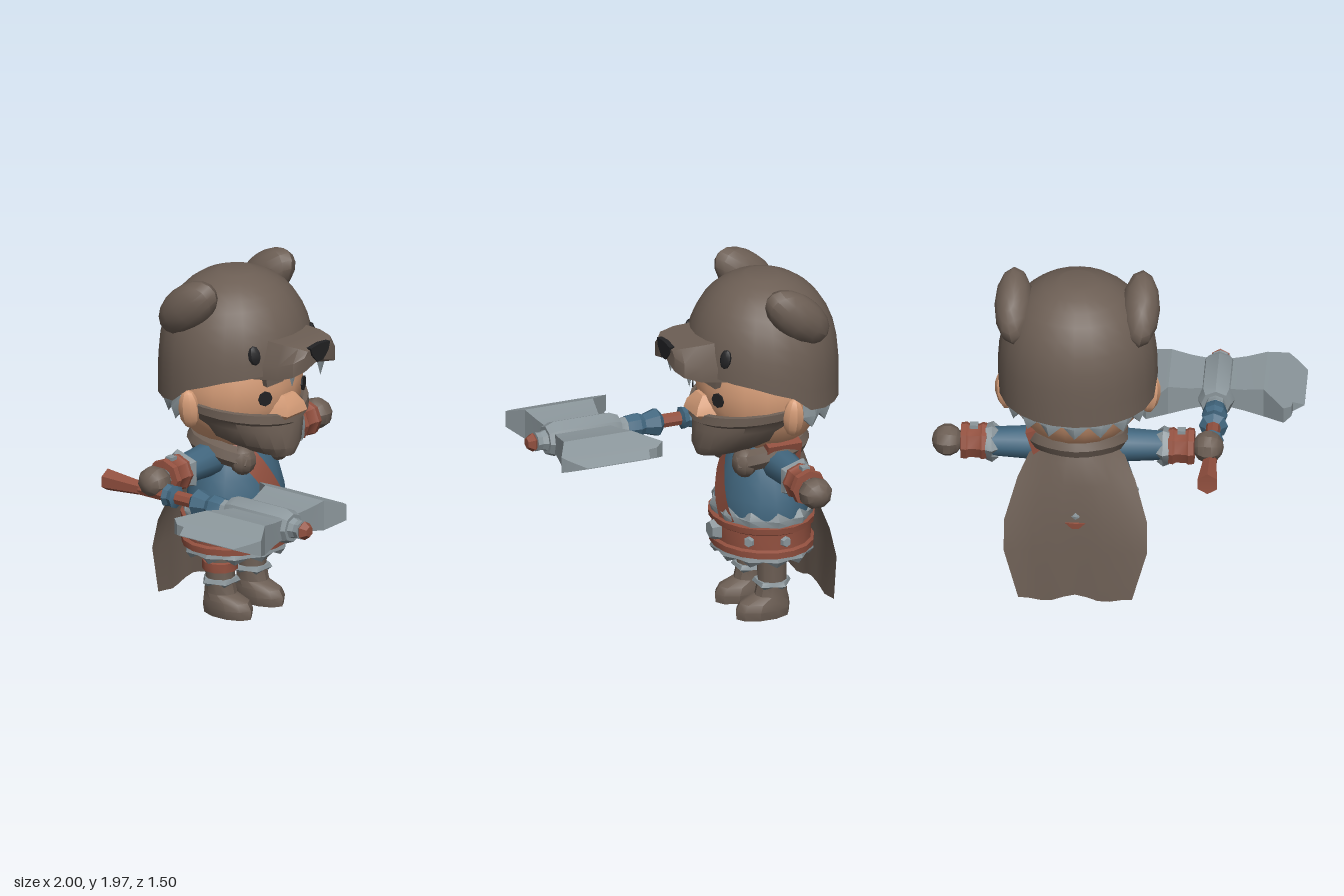
import * as THREE from 'three';
import { toCreasedNormals } from 'three/addons/utils/BufferGeometryUtils.js';

const mat = (name, color) => {
  const m = new THREE.MeshStandardMaterial({ color, side: THREE.DoubleSide });
  m.name = name;
  return m;
};

// Skin through rows of [x, y, z] points; optional fans close the first and last row.
function grid(rows, closed = true, caps = [closed, closed]) {
  const n = rows[0].length, pts = rows.flat(), idx = [];
  const cols = closed ? n : n - 1;
  for (let j = 0; j < rows.length - 1; j++) for (let i = 0; i < cols; i++) {
    const a = j * n + i, b = j * n + (i + 1) % n;
    idx.push(a, b, a + n, b, b + n, a + n);
  }
  const mean = list => [0, 1, 2].map(k => list.reduce((s, p) => s + p[k], 0) / list.length);
  [0, rows.length - 1].forEach((j, e) => {
    if (!caps[e]) return;
    const c = pts.push(mean(rows[j])) - 1;
    for (let i = 0; i < n; i++) {
      const a = j * n + i, b = j * n + (i + 1) % n;
      if (e) idx.push(a, b, c); else idx.push(b, a, c);
    }
  });
  // Turn the surface outward when it is wound inside out.
  const o = new THREE.Vector3(...mean(pts)), v = pts.map(p => new THREE.Vector3(...p).sub(o));
  let volume = 0;
  for (let i = 0; i < idx.length; i += 3) volume += v[idx[i]].dot(v[idx[i + 1]].clone().cross(v[idx[i + 2]]));
  if (volume < 0) idx.reverse();
  const g = new THREE.BufferGeometry();
  g.setAttribute('position', new THREE.Float32BufferAttribute(pts.flat(), 3));
  g.setIndex(idx);
  return g;
}

const lathe = (profile, sides, sz = 1) =>
  new THREE.LatheGeometry(profile.map(p => new THREE.Vector2(...p)), sides).scale(1, 1, sz);
const ball = (rx, ry, rz, w = 12, h = 9) => new THREE.SphereGeometry(1, w, h).scale(rx, ry, rz);

// Jagged fur band around an ellipse, with points at the tip side.
function fur(rx, rz, base, tip, n, a0 = 0, a1 = Math.PI * 2) {
  const row = (k, yEven, yOdd, bump) => Array.from({ length: n + 1 }, (_, i) => {
    const a = a0 + (a1 - a0) * i / n, odd = i % 2, r = k + (odd ? bump : 0);
    return [Math.sin(a) * (rx + r), odd ? yOdd : yEven, Math.cos(a) * (rz + r)];
  });
  const m = (base + tip) / 2;
  return grid([row(-0.03, base, base, 0), row(0.005, base, base, 0.01),
    row(0.008, m, m, 0.022), row(-0.01, m, tip, 0.012), row(-0.05, m, m, 0)], false);
}

// Piecewise-linear lookup in [key, value] pairs.
function lookup(table, k) {
  for (let i = 1; i < table.length; i++) {
    const [a, va] = table[i - 1], [b, vb] = table[i];
    if (k <= b) return va + (vb - va) * Math.max(0, (k - a) / (b - a));
  }
  return table[table.length - 1][1];
}

export function createModel() {
  const model = new THREE.Group();
  model.name = 'bearHoodWarrior';
  const brown = mat('brown fur', 0x6c5e54), skin = mat('skin', 0xd69d78), blue = mat('blue cloth', 0x42677f);
  const red = mat('red leather', 0x92503f), gray = mat('gray metal and fur', 0x8b969b), black = mat('black', 0x222224);

  const body = new THREE.Group();
  body.name = 'body';
  body.position.set(0.205, 0, -0.335);
  const axe = new THREE.Group();
  axe.name = 'axe';
  axe.position.set(-0.517, 0.858, 0);
  model.add(body, axe);

  function add(name, geo, material, pos = [0, 0, 0], rot = [0, 0, 0], parent = body, crease = 0.65) {
    const m = new THREE.Mesh(toCreasedNormals(geo, crease), material);
    m.name = name;
    m.position.set(...pos);
    m.rotation.set(...rot);
    parent.add(m);
    return m;
  }

  // Head, nose and ears
  add('head', ball(0.385, 0.4, 0.36, 18, 12), skin, [0, 1.34, 0]);
  const box = (y, w, z1) => [[-w, y, 0.28], [w, y, 0.28], [w * 0.75, y, z1], [-w * 0.75, y, z1]];
  add('nose', grid([box(1.17, 0.09, 0.39), box(1.2, 0.115, 0.425), box(1.25, 0.1, 0.41), box(1.3, 0.06, 0.37)]), skin);

  // Bear hood with a rim that drops toward the back
  const rim = [[-1, 1.25], [-0.3, 1.26], [0, 1.36], [0.5, 1.43], [1, 1.47]];
  const hoodPoint = (a, y) => {
    const s = y < 1.42 ? 1 : Math.max(0.03, 1 - ((y - 1.42) / 0.53) ** 2.3) ** (1 / 2.3);
    return [0.435 * s * Math.sin(a), y, 0.42 * s * Math.cos(a)];
  };
  const hoodRows = [];
  for (let j = 0; j <= 10; j++) hoodRows.push(Array.from({ length: 24 }, (_, i) => {
    const a = i / 24 * Math.PI * 2, y0 = lookup(rim, Math.cos(a));
    return hoodPoint(a, y0 + (1.945 - y0) * Math.sin(j / 10 * Math.PI / 2));
  }));
  add('hood', grid(hoodRows, true, [false, true]), brown, [0, 0, 0], [0, 0, 0], body, 0.9);
  const snout = (z, top, bottom, y1, y0) => [[-bottom, y0 - 0.03, z], [0, y0 + 0.01, z], [bottom, y0 - 0.03, z],
    [bottom, y0 + 0.05, z], [top, y1, z], [-top, y1, z], [-bottom, y0 + 0.05, z]];
  add('hoodSnout', grid([snout(0.28, 0.17, 0.23, 1.65, 1.46), snout(0.45, 0.165, 0.21, 1.645, 1.48),
    snout(0.54, 0.14, 0.185, 1.635, 1.51), snout(0.575, 0.1, 0.13, 1.615, 1.535)]), brown);
  const nose = new THREE.Shape([[-0.085, 0.045], [0, 0.055], [0.085, 0.045], [0.07, 0], [0.025, -0.045],
    [-0.025, -0.045], [-0.07, 0]].map(p => new THREE.Vector2(...p)));
  add('hoodNose', new THREE.ExtrudeGeometry(nose, { depth: 0.03, bevelEnabled: false }), black, [0, 1.585, 0.555]);

  // Beard wraps the jaw: upper edge, moustache, mouth crease, chin, underside
  const beardRows = [[0, 0.37, 0.37], [0.02, 0.39, 0.395], [0.2, 0.385, 0.405], [0.27, 0.365, 0.375], [0.42, 0.345, 0.385],
    [0.8, 0.27, 0.4], [1, 0.18, 0.385], [0.85, 0.1, 0.2]].map(([v, rx, rz]) => Array.from({ length: 15 }, (_, i) => {
    const u = i / 7 - 1, a = u * 1.62;
    const y1 = 1.195 + 0.085 * Math.abs(u), y0 = 0.95 + 0.09 * u * u;
    return [rx * Math.sin(a), y1 + (y0 - y1) * v, rz * Math.cos(a)];
  }));
  add('beard', grid(beardRows, false), brown);
  add('backHair', fur(0.375, 0.36, 1.29, 1.14, 14, 1.8, Math.PI * 2 - 1.8), gray);

  for (const s of [-1, 1]) {
    add('ear', ball(0.055, 0.115, 0.06, 8, 6), skin, [s * 0.395, 1.24, -0.015], [0, 0, -s * 0.15]);
    add('hoodEar', ball(0.105, 0.125, 0.22), brown, [s * 0.345, 1.8, -0.06], [-0.7, 0, -s * 0.25]);
    add('eye', new THREE.CylinderGeometry(0.042, 0.042, 0.009, 8).rotateX(Math.PI / 2), black,
      [s * 0.168, 1.31, 0.334], [0, s * 0.41, 0]);
    const [x, y, z] = hoodPoint(s * 0.645, 1.58);
    add('hoodEye', ball(0.036, 0.055, 0.02, 7, 5), black, [x, y, z], [-0.2, s * 0.6, 0]);
    add('eyebrow', new THREE.BoxGeometry(0.11, 0.05, 0.05), brown, [s * 0.12, 1.415, 0.345], [0, s * 0.3, -s * 0.15]);
    add('fang', new THREE.ConeGeometry(0.028, 0.1, 5).rotateX(Math.PI), gray, [s * 0.125, 1.45, 0.485]);
  }

  // Torso, belt and fur trims
  const torso = [[0.26, 0.4], [0.3, 0.5], [0.31, 0.62], [0.3, 0.7], [0.27, 0.8], [0.22, 0.92], [0.16, 0.99], [0.1, 1.04]];
  add('tunic', lathe(torso, 18, 0.8), blue);
  add('trousers', lathe([[0.001, 0.32], [0.2, 0.335], [0.27, 0.37], [0.29, 0.42]], 16, 0.85), brown);
  add('belt', lathe([[0.28, 0.38], [0.325, 0.39], [0.327, 0.425], [0.308, 0.435], [0.308, 0.52],
    [0.327, 0.53], [0.332, 0.565], [0.28, 0.575]], 18, 0.86), red);
  add('upperFur', fur(0.305, 0.25, 0.56, 0.65, 22), gray);
  add('lowerFur', fur(0.29, 0.25, 0.4, 0.325, 22), gray);
  const hex = (r, d) => new THREE.CylinderGeometry(r * 0.7, r, d, 6).rotateX(Math.PI / 2);
  add('buckle', hex(0.068, 0.05), gray, [0, 0.49, 0.285], [0, 0, 0], body, 0.3);
  for (const a of [-0.85, 0.85, -1.6, 1.6])
    add('beltStud', hex(0.035, 0.03), gray, [Math.sin(a) * 0.31, 0.48, Math.cos(a) * 0.268], [0, a, 0], body, 0.3);

  // Chest strap following the tunic, front and back
  const radius = torso.map(([r, y]) => [y, r]);
  for (const side of [1, -1]) {
    const rows = [-1, 1].map(e => Array.from({ length: 9 }, (_, i) => {
      const t = i / 8, x = -0.14 + 0.24 * t + e * 0.055, y = 0.98 - 0.42 * t + e * 0.02;
      const r = lookup(radius, y);
      return [x, y, side * (0.8 * Math.sqrt(Math.max(0.002, r * r - x * x)) + 0.02)];
    }));
    add(side > 0 ? 'chestStrap' : 'backStrap', grid(rows, false), red);
  }
  add('shoulderStrap', new THREE.BoxGeometry(0.07, 0.14, 0.2), red, [0.225, 0.975, -0.02], [0, 0, -0.3]);

  // Fur collar and cape
  const neck = [[-0.15, 0.92, 0.2], [-0.22, 0.96, 0.07], [-0.2, 0.99, -0.1], [0, 1, -0.2],
    [0.2, 0.99, -0.1], [0.22, 0.96, 0.07], [0.15, 0.92, 0.2]].map(p => new THREE.Vector3(...p));
  add('collar', new THREE.TubeGeometry(new THREE.CatmullRomCurve3(neck), 18, 0.06, 7), brown);
  for (const s of [-1, 1]) add('collarEnd', ball(0.08, 0.085, 0.07, 9, 7), brown, [s * 0.155, 0.92, 0.17]);
  const capeRows = [[1, 0.2, -0.18, 0.14], [0.9, 0.26, -0.225, 0.13], [0.78, 0.32, -0.255, 0.1], [0.55, 0.39, -0.28, 0.05],
    [0.38, 0.39, -0.29, 0.02], [0.1, 0.31, -0.3, 0.01]].map(([y, w, z, curl], j) => Array.from({ length: 11 }, (_, i) => {
    const u = i / 5 - 1;
    return [u * w, j === 5 ? y + 0.025 * Math.cos(u * 5) * (1 - u * u) : y, z + curl * u * u + 0.004 * Math.cos(u * 9)];
  }));
  add('cape', grid(capeRows, false), brown);

  // Arms, gauntlets and hands, each built pointing along +y then turned outward
  for (const s of [-1, 1]) {
    const arm = new THREE.Group();
    arm.name = s > 0 ? 'leftArm' : 'rightArm';
    arm.position.set(0, 0.91, -0.005);
    arm.rotation.z = -s * Math.PI / 2;
    body.add(arm);
    const part = (name, geo, m, pos) => add(name, geo, m, pos, [0, 0, 0], arm);
    part('sleeve', lathe([[0.095, 0.08], [0.095, 0.25], [0.08, 0.48]], 10), blue);
    part('cuffFur', fur(0.088, 0.088, 0.5, 0.43, 10), gray);
    part('gauntlet', lathe([[0.07, 0.49], [0.1, 0.495], [0.105, 0.52], [0.095, 0.535], [0.095, 0.59],
      [0.105, 0.605], [0.1, 0.635], [0.06, 0.638]], 8), red);
    part('gauntletStud', new THREE.BoxGeometry(0.025, 0.045, 0.045), gray, [-s * 0.093, 0.565, 0]);
    part('hand', ball(0.088, 0.085, 0.095, 9, 7), brown, [0, 0.71, 0]);

    // Legs and boots
    const ring = (y, w, z0, z1) => Array.from({ length: 10 }, (_, i) => {
      const a = i / 10 * Math.PI * 2;
      return [s * 0.14 + w * Math.sin(a), y, (z0 + z1) / 2 + (z1 - z0) / 2 * Math.cos(a)];
    });
    add('legAndBoot', grid([ring(0, 0.085, -0.1, 0.21), ring(0.05, 0.097, -0.105, 0.215), ring(0.09, 0.09, -0.1, 0.19),
      ring(0.125, 0.08, -0.09, 0.1), ring(0.2, 0.08, -0.08, 0.08), ring(0.4, 0.085, -0.085, 0.085)]), brown);
    add('bootFur', fur(0.082, 0.082, 0.21, 0.165, 10), gray, [s * 0.14, 0, 0]);
  }
  add('kneeBand', lathe([[0.08, 0.25], [0.098, 0.255], [0.098, 0.305], [0.08, 0.31]], 10), red, [-0.14, 0, 0]);

  // Axe shaft sections along z
  const shaft = (name, profile, m, sides = 8) =>
    add(name, lathe(profile, sides).rotateX(Math.PI / 2), m, [0, 0, 0], [0, 0, 0], axe, 0.4);
  shaft('pommel', [[0.001, -0.65], [0.062, -0.655], [0.038, -0.4]], red, 6);
  shaft('handle', [[0.04, -0.42], [0.04, 0.1]], red);
  shaft('gripBand', [[0.04, -0.25], [0.065, -0.24], [0.055, -0.21], [0.065, -0.18], [0.04, -0.17]], blue);
  shaft('shaftWrap', [[0.045, -0.06], [0.08, -0.03], [0.055, 0.05], [0.07, 0.08], [0.065, 0.14], [0.05, 0.17]], blue);
  shaft('headCollar', [[0.04, 0.14], [0.06, 0.155], [0.055, 0.19], [0.065, 0.23]], gray);
  shaft('axeHub', [[0.001, 0.2], [0.08, 0.2], [0.1, 0.25], [0.1, 0.58], [0.08, 0.63], [0.001, 0.63]], gray);
  shaft('endNut', [[0.001, 0.62], [0.06, 0.63], [0.05, 0.66], [0.055, 0.69], [0.001, 0.695]], gray);
  shaft('endCap', [[0.04, 0.69], [0.055, 0.705], [0.03, 0.74], [0.001, 0.742]], red, 6);

  // Two wedge blades: [distance from shaft, rear z, front z, half thickness]
  for (const s of [-1, 1]) {
    const rows = [[0.05, 0.27, 0.61, 0.055], [0.15, 0.245, 0.625, 0.065], [0.26, 0.22, 0.645, 0.085], [0.375, 0.09, 0.71, 0.045],
      [0.415, 0.14, 0.675, 0.03], [0.42, 0.19, 0.67, 0.028], [0.483, 0.21, 0.6, 0.002]].map(([x, z0, z1, h]) =>
      [[s * x, -h, z0 + 0.01], [s * x, h, z0 + 0.01], [s * x, h, z1 - 0.01], [s * x, -h, z1 - 0.01]]);
    add(s > 0 ? 'innerBlade' : 'outerBlade', grid(rows), gray, [0, 0, 0], [0, 0, 0], axe, 0.3);
  }
  return model;
}
